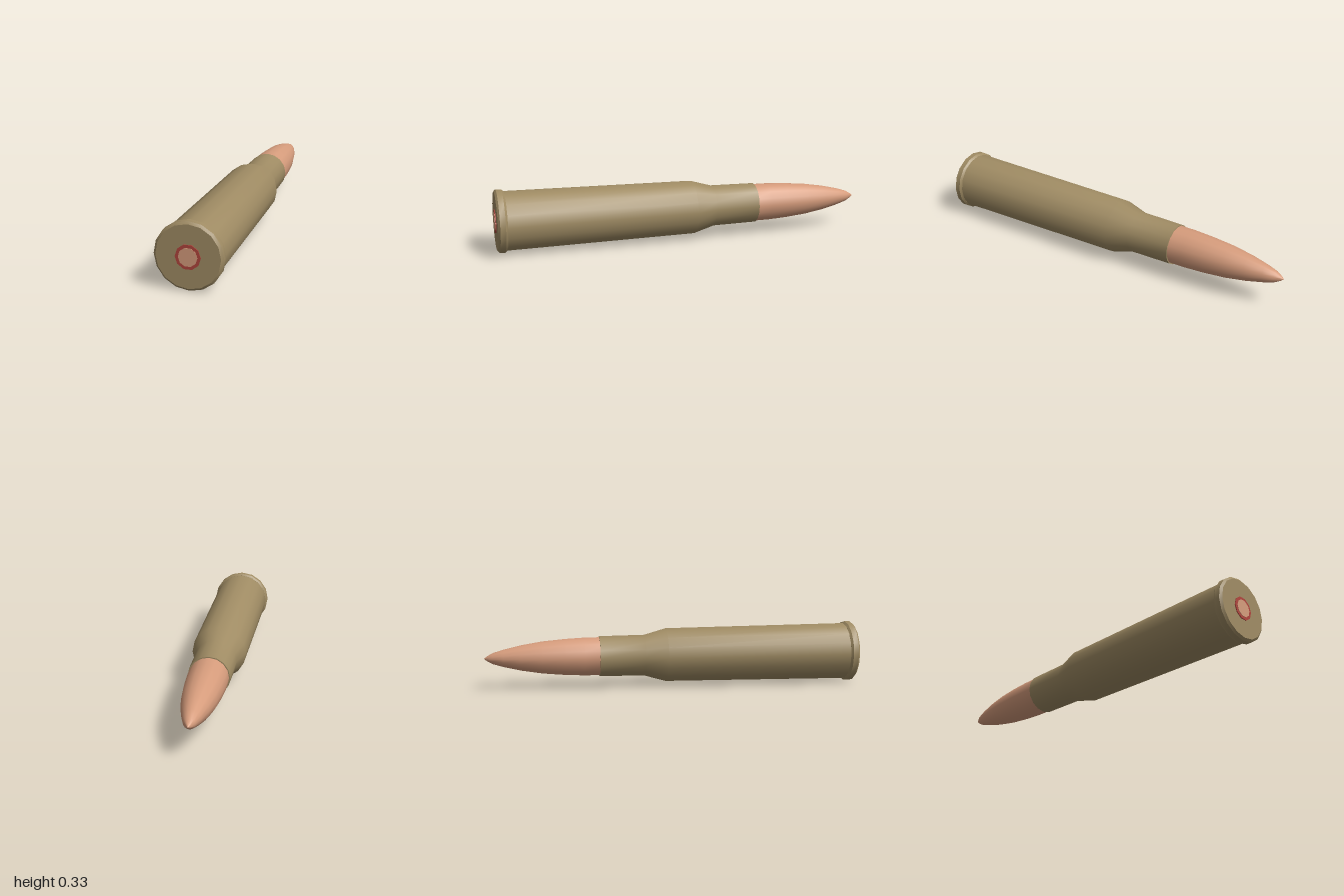
import * as THREE from 'three';
import { toCreasedNormals } from 'three/addons/utils/BufferGeometryUtils.js';

const BRASS = 0xa08c64, COPPER = 0xd69c7c, RED = 0xb0443c;
const AXIS_Y = 0.164;

// Revolves [radius, z] points (z increasing along the outside) about the z axis.
function turned(name, color, profile, sides = 16, phi = 0) {
  const points = profile.map(([r, z]) => new THREE.Vector2(r, z));
  const lathe = new THREE.LatheGeometry(points, sides, phi).rotateX(Math.PI / 2);
  const mesh = new THREE.Mesh(
    toCreasedNormals(lathe, 0.5),
    new THREE.MeshStandardMaterial({ color })
  );
  mesh.name = name;
  mesh.position.y = AXIS_Y;
  return mesh;
}

export function createModel() {
  const group = new THREE.Group();
  group.name = 'cartridge';

  // Pointed projectile, seated a little way into the neck
  group.add(turned('bullet', COPPER, [
    [0, -1], [0.012, -0.985], [0.029, -0.955], [0.046, -0.9], [0.067, -0.81],
    [0.085, -0.7], [0.096, -0.58], [0.101, -0.48], [0.102, -0.36],
  ]));

  // Casing: mouth, neck, shoulder and tapered body
  group.add(turned('casing', BRASS, [
    [0.1, -0.4], [0.107, -0.4], [0.11, -0.16], [0.143, -0.045], [0.1535, 0.95],
  ]));

  // Chamfered rim and flat base
  group.add(turned('rim', BRASS, [
    [0.15, 0.945], [0.154, 0.945], [0.1635, 0.956], [0.1635, 0.984], [0.152, 0.994], [0, 0.994],
  ]));

  // Sealing ring and primer cap, slightly proud of the base
  group.add(turned('primerRing', RED, [
    [0.06, 0.99], [0.06, 0.998], [0.045, 0.998],
  ], 10, Math.PI / 2));
  group.add(turned('primer', COPPER, [
    [0.045, 0.99], [0.045, 1], [0, 1],
  ], 10, Math.PI / 2));

  return group;
}
